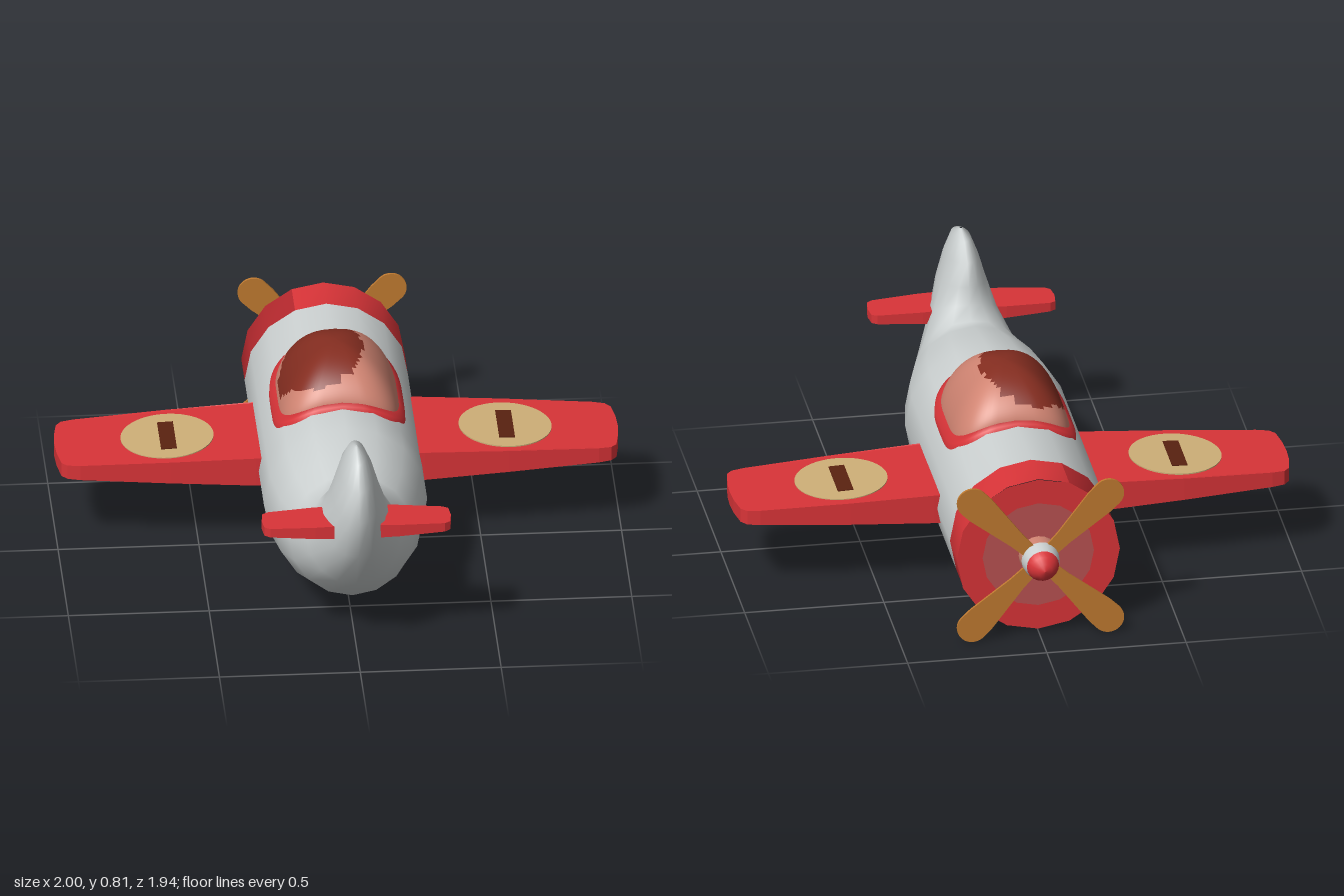
import * as THREE from 'three';

const mat = (name, color, side = THREE.FrontSide) => {
  const m = new THREE.MeshStandardMaterial({ color, side });
  m.name = name;
  return m;
};

// Skin a list of closed rings of points; pick() chooses a material index per quad
function loft(rings, pick = () => 0) {
  const n = rings[0].length, pos = [], sets = [[], []];
  rings.forEach(r => r.forEach(p => pos.push(...p)));
  for (let j = 0; j < rings.length - 1; j++) {
    for (let i = 0; i < n; i++) {
      const k = (i + 1) % n;
      const a = j * n + i, b = a + n, c = j * n + k, d = c + n;
      const mid = [0, 1, 2].map(q =>
        (rings[j][i][q] + rings[j + 1][i][q] + rings[j][k][q] + rings[j + 1][k][q]) / 4);
      sets[pick(mid, i)].push(a, b, c, c, b, d);
    }
  }
  const g = new THREE.BufferGeometry();
  g.setAttribute('position', new THREE.Float32BufferAttribute(pos, 3));
  g.setIndex([...sets[0], ...sets[1]]);
  g.addGroup(0, sets[0].length, 0);
  g.addGroup(sets[0].length, sets[1].length, 1);
  g.computeVertexNormals();
  return g;
}

// Ring between a bottom and a top point of the side profile
const bodyRing = ([bz, by, tz, ty, w]) => Array.from({ length: 16 }, (_, i) => {
  const a = i / 16 * Math.PI * 2, c = Math.cos(a);
  return [w * Math.sin(a), (by + ty) / 2 + (ty - by) / 2 * c, (bz + tz) / 2 + (tz - bz) / 2 * c];
});

// Rounded-rectangle ring lying on the fuselage top, raised by lift
const bodyTop = x => 0.305 + Math.sqrt(Math.max(0, 0.295 ** 2 - x * x));
const saddleRing = (hx, hz, lift) => Array.from({ length: 64 }, (_, i) => {
  const a = i / 64 * Math.PI * 2;
  const soft = v => Math.sign(v) * Math.sqrt(Math.abs(v));
  const x = hx * soft(Math.sin(a));
  return [x, bodyTop(x) + lift, -0.125 + hz * soft(Math.cos(a))];
});

// Horizontal slab whose half thickness follows a rule along x
function slab(shape, y, half) {
  const g = new THREE.ExtrudeGeometry(shape, { depth: 1, bevelEnabled: false, curveSegments: 24 });
  g.translate(0, 0, -0.5);
  g.rotateX(-Math.PI / 2);
  const p = g.attributes.position;
  for (let i = 0; i < p.count; i++) p.setY(i, y + Math.sign(p.getY(i)) * half(Math.abs(p.getX(i))));
  g.computeVertexNormals();
  return g;
}
const outline = (pts, s) => new THREE.Shape(pts.map(([x, z]) => new THREE.Vector2(x * s, -z)));

export function createModel() {
  const root = new THREE.Group();
  root.name = 'toyPlane';
  const red = mat('red', 0xd93438), darkRed = mat('darkRed', 0xb4282d);
  const grey = mat('lightGrey', 0xccd1d1), nose = mat('dustyRed', 0xb95252);
  const glass = mat('salmonGlass', 0xd08472, THREE.DoubleSide);
  const shade = mat('darkGlass', 0x842d20, THREE.DoubleSide);
  const tan = mat('tan', 0xcfb078), brown = mat('darkBrown', 0x5a2210), wood = mat('wood', 0xc07a30);
  const add = (name, geo, material, parent = root) => {
    const m = new THREE.Mesh(geo, material);
    m.name = name;
    parent.add(m);
    return m;
  };

  // Fuselage sweeping up into the tail fin: bottom z, y, top z, y, half width
  add('fuselage', loft([
    [-0.66, 0.01, -0.66, 0.6, 0.29], [-0.2, 0.01, -0.2, 0.6, 0.29],
    [0.15, 0.01, 0.15, 0.6, 0.29], [0.28, 0.01, 0.28, 0.6, 0.29],
    [0.45, 0.04, 0.44, 0.575, 0.262], [0.62, 0.11, 0.54, 0.55, 0.222],
    [0.8, 0.25, 0.595, 0.543, 0.17], [0.92, 0.42, 0.63, 0.59, 0.122],
    [0.97, 0.58, 0.64, 0.655, 0.088], [0.95, 0.69, 0.67, 0.735, 0.06],
    [0.895, 0.775, 0.73, 0.79, 0.033], [0.815, 0.81, 0.805, 0.81, 0.004],
  ].map(bodyRing)), [grey, grey]);

  // Engine cowl with a darker panel, and its front face
  add('cowl', loft([-0.82, -0.66].map(z => bodyRing([z, 0.01, z, 0.6, 0.29])),
    (m, i) => (i >= 12 && i <= 14 ? 1 : 0)), [red, darkRed]);
  const rim = add('cowlRim', new THREE.RingGeometry(0.2, 0.293, 16), red);
  const plate = add('nosePlate', new THREE.CircleGeometry(0.2, 16), nose);
  for (const m of [rim, plate]) {
    m.rotation.y = Math.PI;
    m.position.set(0, 0.305, -0.82);
  }

  // Canopy dome with a dark reflection patch, and the frame around it
  const dome = Array.from({ length: 25 }, (_, j) => {
    const r = Math.max(0.002, Math.sin(j / 24 * Math.PI / 2));
    return saddleRing(0.215 * r, 0.24 * r, 0.14 * Math.pow(Math.max(0, 1 - r * r), 0.6));
  });
  add('canopy', loft(dome, ([x, , z]) =>
    (((x + 0.06) / 0.15) ** 2 + ((z + 0.13) / 0.21) ** 2 < 1 ? 1 : 0)), [glass, shade]);
  add('canopyFrame', loft([
    saddleRing(0.203, 0.228, -0.01), saddleRing(0.203, 0.228, 0.014),
    saddleRing(0.234, 0.262, 0.01), saddleRing(0.236, 0.264, -0.02),
  ]), [red, red]);

  // Wings with roundels and tailplanes, mirrored
  const wingHalf = x => 0.055 - 0.03 * Math.max(0, x - 0.28) / 0.72;
  const tailHalf = x => 0.028 - 0.012 * x / 0.335;
  const wingPts = [[0.2, -0.395], [0.3, -0.395], [0.6, -0.383], [0.92, -0.36], [0.965, -0.35],
    [0.985, -0.325], [0.997, -0.25], [1, -0.185], [0.997, -0.12], [0.985, -0.04],
    [0.965, -0.018], [0.92, -0.008], [0.6, 0.015], [0.3, 0.03], [0.2, 0.03]];
  const tailPts = [[0.03, 0.73], [0.15, 0.73], [0.31, 0.743], [0.33, 0.755], [0.336, 0.805],
    [0.33, 0.855], [0.31, 0.87], [0.15, 0.883], [0.03, 0.883]];
  for (const s of [1, -1]) {
    const side = s > 0 ? 'left' : 'right';
    add(side + 'Wing', slab(outline(wingPts, s), 0.302, wingHalf), red);
    const disc = new THREE.Shape().absarc(0.6 * s, 0.183, 0.165, 0, Math.PI * 2);
    add(side + 'Roundel', slab(disc, 0.302, x => wingHalf(x) + 0.003), tan);
    const bar = [[0.572, -0.283], [0.628, -0.283], [0.628, -0.083], [0.572, -0.083]];
    add(side + 'RoundelBar', slab(outline(bar, s), 0.302, x => wingHalf(x) + 0.006), brown);
    add(side + 'Tailplane', slab(outline(tailPts, s), 0.503, tailHalf), red);
  }

  // Spinner: collar, band and tip
  const spinner = new THREE.Group();
  spinner.name = 'spinner';
  spinner.position.set(0, 0.305, 0);
  root.add(spinner);
  const turned = (name, pts, m) => add(name, new THREE.LatheGeometry(
    pts.map(([r, h]) => new THREE.Vector2(r, h)), 20).rotateX(-Math.PI / 2), m, spinner);
  turned('spinnerCollar', [[0.071, 0.815], [0.07, 0.84], [0.068, 0.865]], glass);
  turned('spinnerBand', [[0.068, 0.865], [0.065, 0.89], [0.058, 0.918]], grey);
  turned('spinnerTip', [[0.058, 0.918], [0.046, 0.942], [0.026, 0.96], [0, 0.968]], red);

  // Four diagonal propeller blades with rounded ends
  const blade = new THREE.Shape();
  blade.moveTo(-0.022, 0);
  blade.lineTo(0.022, 0);
  blade.lineTo(0.03, 0.12);
  blade.lineTo(0.055, 0.3);
  blade.absarc(0, 0.345, 0.056, 0, Math.PI);
  blade.lineTo(-0.055, 0.3);
  blade.lineTo(-0.03, 0.12);
  const bladeGeo = new THREE.ExtrudeGeometry(blade, { depth: 0.01, bevelEnabled: false, curveSegments: 10 });
  for (let i = 0; i < 4; i++) {
    const b = add('propellerBlade', bladeGeo, wood);
    b.position.set(0, 0.303, -0.87);
    b.rotation.z = Math.PI / 4 + i * Math.PI / 2;
  }
  return root;
}
